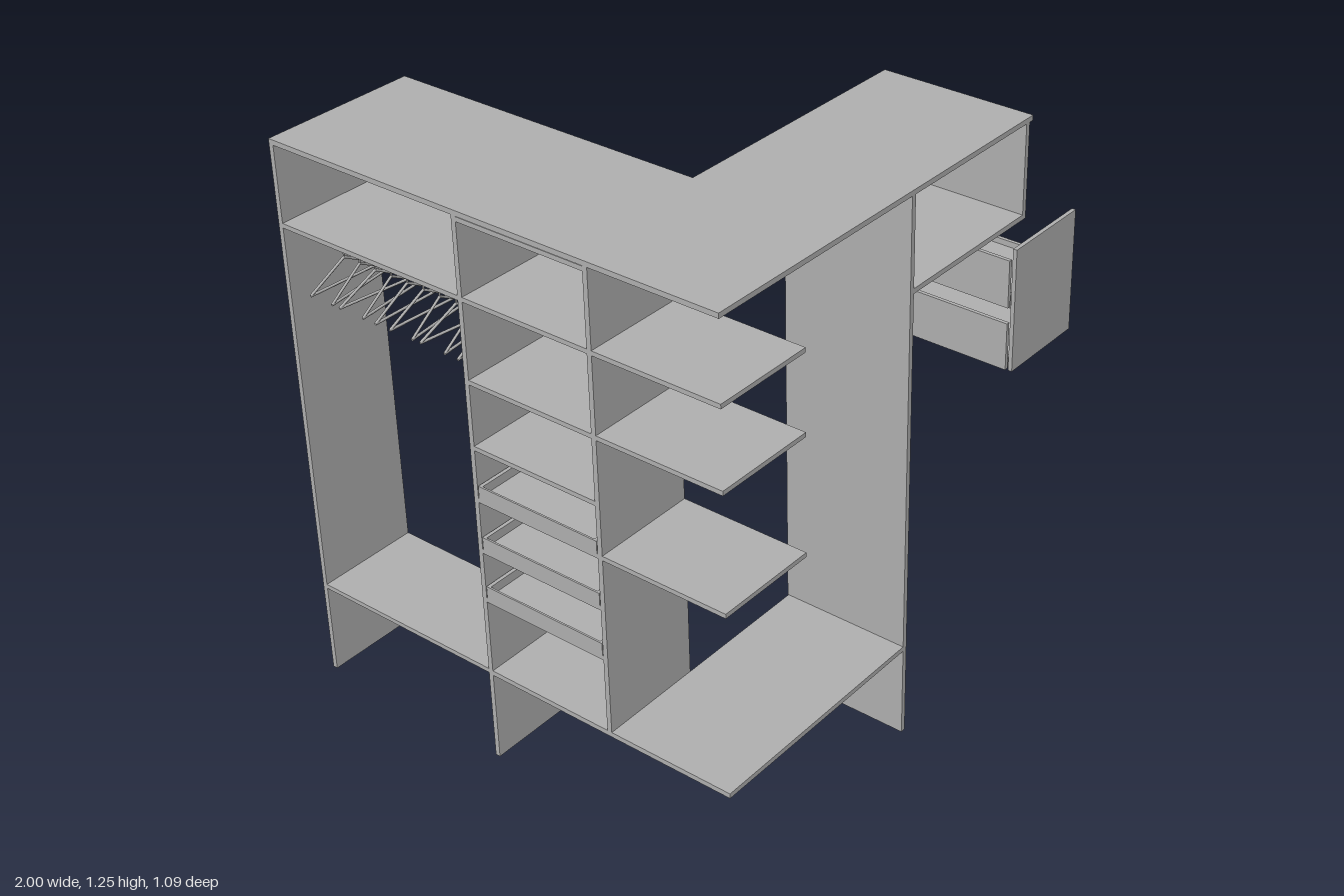
import * as THREE from 'three';

const T = 0.011; // board thickness

export function createModel() {
  const model = new THREE.Group();
  const grey = new THREE.MeshStandardMaterial({ color: 0xb2b2b2 });
  grey.name = 'plain grey';

  // box from min/max ranges on each axis
  function board(parent, name, [x0, x1], [y0, y1], [z0, z1]) {
    const mesh = new THREE.Mesh(new THREE.BoxGeometry(x1 - x0, y1 - y0, z1 - z0), grey);
    mesh.position.set((x0 + x1) / 2, (y0 + y1) / 2, (z0 + z1) / 2);
    mesh.name = name;
    parent.add(mesh);
    return mesh;
  }
  function group(name) {
    const g = new THREE.Group();
    g.name = name;
    model.add(g);
    return g;
  }

  const wardrobe = group('wardrobe');
  const X = [-1, -0.765];
  const TOP = 1.235;

  // L-shaped top board
  const outline = new THREE.Shape([
    [-1, 0.545], [-0.645, 0.545], [-0.645, -0.195],
    [-0.047, -0.195], [-0.047, -0.545], [-1, -0.545],
  ].map(([x, y]) => new THREE.Vector2(x, y)));
  const top = new THREE.Mesh(new THREE.ExtrudeGeometry(outline, { depth: T, bevelEnabled: false }), grey);
  top.rotation.x = -Math.PI / 2;
  top.position.y = TOP;
  top.name = 'topBoard';
  wardrobe.add(top);

  // upright panels
  board(wardrobe, 'cornerUpright', X, [0.218, TOP], [0.243, 0.254]);
  board(wardrobe, 'middleUpright', X, [0, TOP], [-0.07, -0.059]);
  board(wardrobe, 'endUpright', X, [0, TOP], [-0.545, -0.534]);
  board(wardrobe, 'sidePanel', [-0.447, -0.436], [0, TOP], [0.252, 0.545]);

  // shelves of the narrow column
  for (const y of [0.387, 0.503, 0.621, 0.738, 0.883, 1.059, 1.224])
    board(wardrobe, 'columnShelf', X, [y, y + 0.01], [-0.059, 0.243]);
  board(wardrobe, 'columnBase', X, [0.207, 0.218], [-0.059, 0.254]);

  // open corner shelves
  for (const y of [0.621, 0.883, 1.059])
    board(wardrobe, 'cornerShelf', X, [y, y + 0.01], [0.254, 0.545]);
  board(wardrobe, 'cornerBase', [-1, -0.447], [0.207, 0.218], [0.254, 0.545]);

  // hanging bay
  for (const y of [0.209, 1.059])
    board(wardrobe, 'hangingBayShelf', X, [y, y + 0.01], [-0.534, -0.07]);

  // overhead open box
  board(wardrobe, 'overheadBoxBase', [-0.436, -0.058], [1.028, 1.039], [0.252, 0.545]);
  board(wardrobe, 'overheadBoxSide', [-0.069, -0.058], [1.039, TOP], [0.252, 0.545]);

  // shallow trays on the column shelves
  for (const y of [0.397, 0.513, 0.631]) {
    const tray = new THREE.Group();
    tray.name = 'tray';
    wardrobe.add(tray);
    board(tray, 'trayFloor', [-0.996, -0.77], [y, y + 0.008], [-0.057, 0.241]);
    board(tray, 'trayBack', [-1, -0.996], [y, y + 0.028], [-0.057, 0.241]);
    board(tray, 'traySide', [-0.996, -0.77], [y + 0.008, y + 0.028], [-0.057, -0.049]);
    board(tray, 'traySide', [-0.996, -0.77], [y + 0.008, y + 0.028], [0.233, 0.241]);
  }

  // coat hangers, turned alternately
  const hangers = group('hangers');
  const turns = [0, 0.1, -0.13, 0.12, -0.05];
  function rod(parent, a, b, r) {
    const from = new THREE.Vector3(...a), dir = new THREE.Vector3(...b).sub(from);
    const mesh = new THREE.Mesh(new THREE.CylinderGeometry(r, r, dir.length(), 6), grey);
    mesh.position.copy(from).addScaledVector(dir, 0.5);
    mesh.quaternion.setFromUnitVectors(new THREE.Vector3(0, 1, 0), dir.normalize());
    mesh.name = 'hangerRod';
    parent.add(mesh);
  }
  for (let i = 0; i < 10; i++) {
    const hanger = new THREE.Group();
    hanger.name = 'hanger';
    hanger.position.set(-0.88, 0.903, -0.115 - i * 0.0437);
    hanger.rotation.y = turns[i % 5];
    rod(hanger, [-0.09, 0, 0], [0.09, 0, 0], 0.003);
    rod(hanger, [-0.09, 0, 0], [0, 0.05, 0], 0.003);
    rod(hanger, [0.09, 0, 0], [0, 0.05, 0], 0.003);
    rod(hanger, [0, 0.05, 0], [0, 0.062, 0], 0.002);
    const hook = new THREE.Mesh(new THREE.TorusGeometry(0.008, 0.002, 5, 10, Math.PI * 1.4), grey);
    hook.position.y = 0.064;
    hook.rotation.z = -Math.PI / 2;
    hook.name = 'hangerHook';
    hanger.add(hook);
    hangers.add(hanger);
  }

  // separate drawer unit
  const unit = group('drawerUnit');
  board(unit, 'unitEndFront', [0.722, 0.987], [0.114, 0.455], [0.033, 0.044]);
  board(unit, 'unitEndBack', [0.732, 1], [0.114, 0.455], [-0.545, -0.534]);
  for (const y of [0.119, 0.294]) {
    const drawer = new THREE.Group();
    drawer.name = 'drawer';
    unit.add(drawer);
    board(drawer, 'drawerFront', [0.712, 0.722], [y, y + 0.131], [-0.532, 0.031]);
    board(drawer, 'drawerFloor', [0.722, 0.972], [y, y + 0.01], [-0.53, 0.028]);
    board(drawer, 'drawerBackLip', [0.962, 0.972], [y + 0.01, y + 0.026], [-0.53, 0.028]);
    board(drawer, 'drawerSideLip', [0.722, 0.962], [y + 0.01, y + 0.026], [0.018, 0.028]);
    board(drawer, 'drawerSideLip', [0.722, 0.962], [y + 0.01, y + 0.026], [-0.53, -0.52]);
  }

  return model;
}
